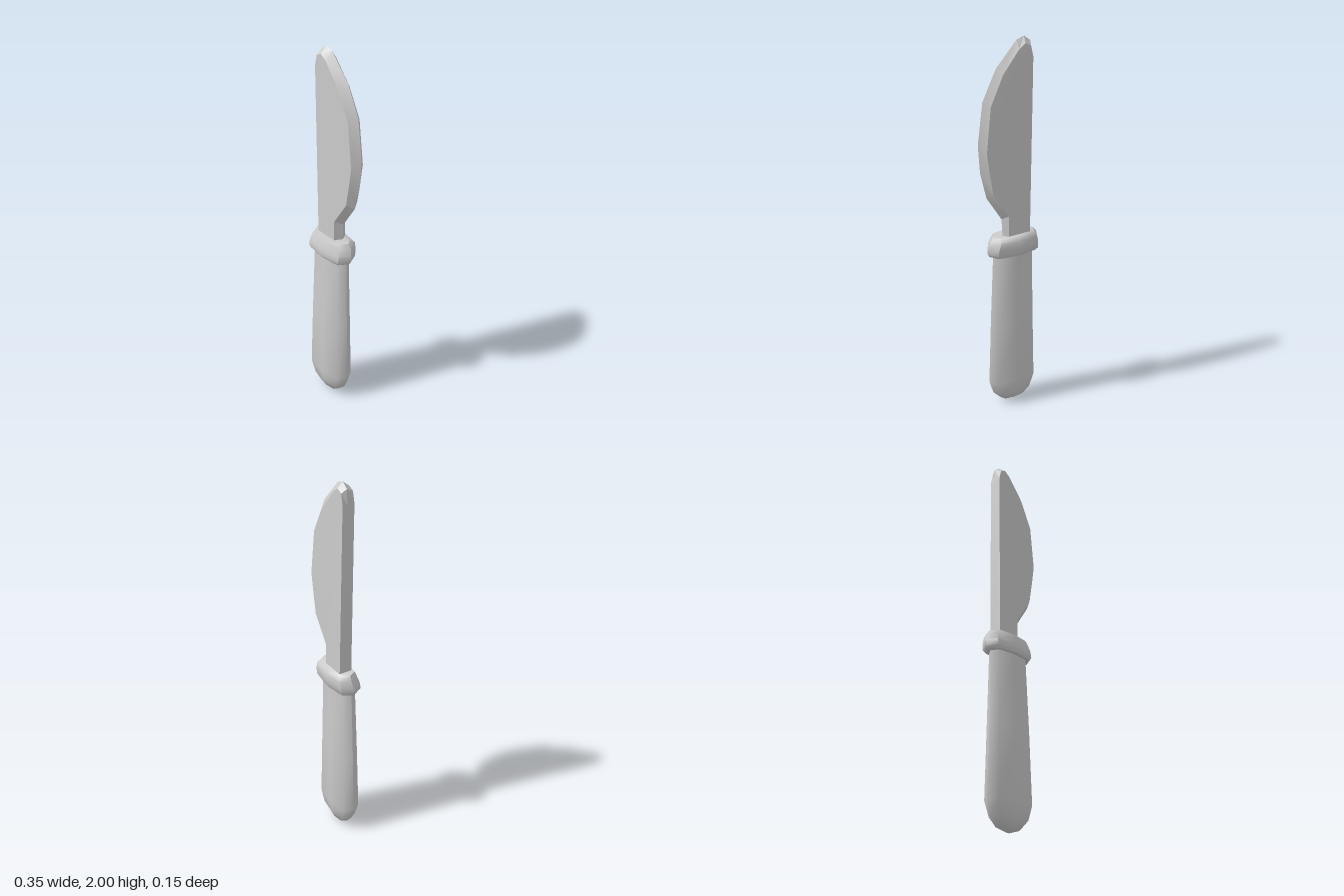
import * as THREE from 'three';
import { toCreasedNormals } from 'three/addons/utils/BufferGeometryUtils.js';

// Skin a stack of equal-length loops (counter-clockwise seen from the last one) and cap both ends.
function loft(loops, flatten, crease) {
  const n = loops[0].length;
  const last = (loops.length - 1) * n;
  const index = [];
  for (let r = 0; r < loops.length - 1; r++) {
    for (let i = 0; i < n; i++) {
      const j = (i + 1) % n;
      const a = r * n + i, b = r * n + j, c = b + n, d = a + n;
      index.push(a, b, c, a, c, d);
    }
  }
  const cap = (loop) => THREE.ShapeUtils.triangulateShape(loop.map(flatten), []);
  for (const [a, b, c] of cap(loops[0])) index.push(c, b, a);
  for (const [a, b, c] of cap(loops[loops.length - 1])) index.push(last + a, last + b, last + c);
  const geo = new THREE.BufferGeometry();
  geo.setAttribute('position', new THREE.Float32BufferAttribute(loops.flat(2), 3));
  geo.setIndex(index);
  return toCreasedNormals(geo, crease);
}

// Eight-sided flattened ring: the broad faces are shallow and the narrow sides come to a ridge.
const OCTAGON = [[1, 0], [0.79, 0.76], [0, 1], [-0.79, 0.76], [-1, 0], [-0.79, -0.76], [0, -1], [0.79, -0.76]];
const ring = ([y, x0, x1, z0, z1]) => OCTAGON.map(([u, v]) => [
  (x0 + x1) / 2 + u * (x1 - x0) / 2, y, (z0 + z1) / 2 - v * (z1 - z0) / 2,
]);
const fromAbove = ([x, , z]) => new THREE.Vector2(x, -z);
const fromFront = ([x, y]) => new THREE.Vector2(x, y);

export function createModel() {
  const model = new THREE.Group();
  const metal = new THREE.MeshStandardMaterial({ color: 0xcccccc });
  metal.name = 'light grey';
  const add = (name, geo) => {
    const mesh = new THREE.Mesh(geo, metal);
    mesh.name = name;
    model.add(mesh);
  };

  // Tapered handle with rounded butt: y, min x, max x, min z, max z
  add('handle', loft([
    [0, -0.04, -0.02, 0.005, 0.015],
    [0.02, -0.10, 0.04, -0.025, 0.045],
    [0.065, -0.14, 0.085, -0.045, 0.065],
    [0.14, -0.168, 0.11, -0.055, 0.075],
    [0.5, -0.158, 0.1, -0.05, 0.065],
    [0.93, -0.145, 0.085, -0.045, 0.05],
  ].map(ring), fromAbove, 1.0));

  // Collar, leaning slightly to the back at its top
  add('collar', loft([
    [0.89, -0.165, 0.108, -0.06, 0.068],
    [0.905, -0.178, 0.118, -0.072, 0.075],
    [0.94, -0.176, 0.117, -0.077, 0.07],
    [0.98, -0.162, 0.105, -0.078, 0.057],
    [1.0, -0.148, 0.09, -0.06, 0.048],
  ].map(ring), fromAbove, 0.9));

  // Blade outline from the neck, up the cutting edge, over the tip and down the spine:
  // ridge x, ridge y, face x, face y
  const outline = [
    [0.035, 0.95, 0.02, 0.95], [0.045, 1.09, 0.02, 1.11], [0.13, 1.22, 0.11, 1.245],
    [0.165, 1.36, 0.13, 1.36], [0.175, 1.5, 0.145, 1.46], [0.148, 1.71, 0.12, 1.69],
    [0.075, 1.86, 0.05, 1.835], [-0.04, 1.985, -0.04, 1.945], [-0.08, 2.0, -0.075, 1.97],
    [-0.115, 1.975, -0.105, 1.955], [-0.119, 1.9, -0.118, 1.9], [-0.105, 0.95, -0.105, 0.95],
  ];
  const back = outline.map(([, , x, y]) => [x, y, -0.042 - 0.03 * Math.max(0, x) + 0.012 * Math.max(0, y - 1.5)]);
  const ridge = outline.map(([x, y]) => [x, y, -0.012]);
  const front = outline.map(([, , x, y]) => [x, y, 0.027]);
  add('blade', loft([back, ridge, front], fromFront, 0.3));

  return model;
}
